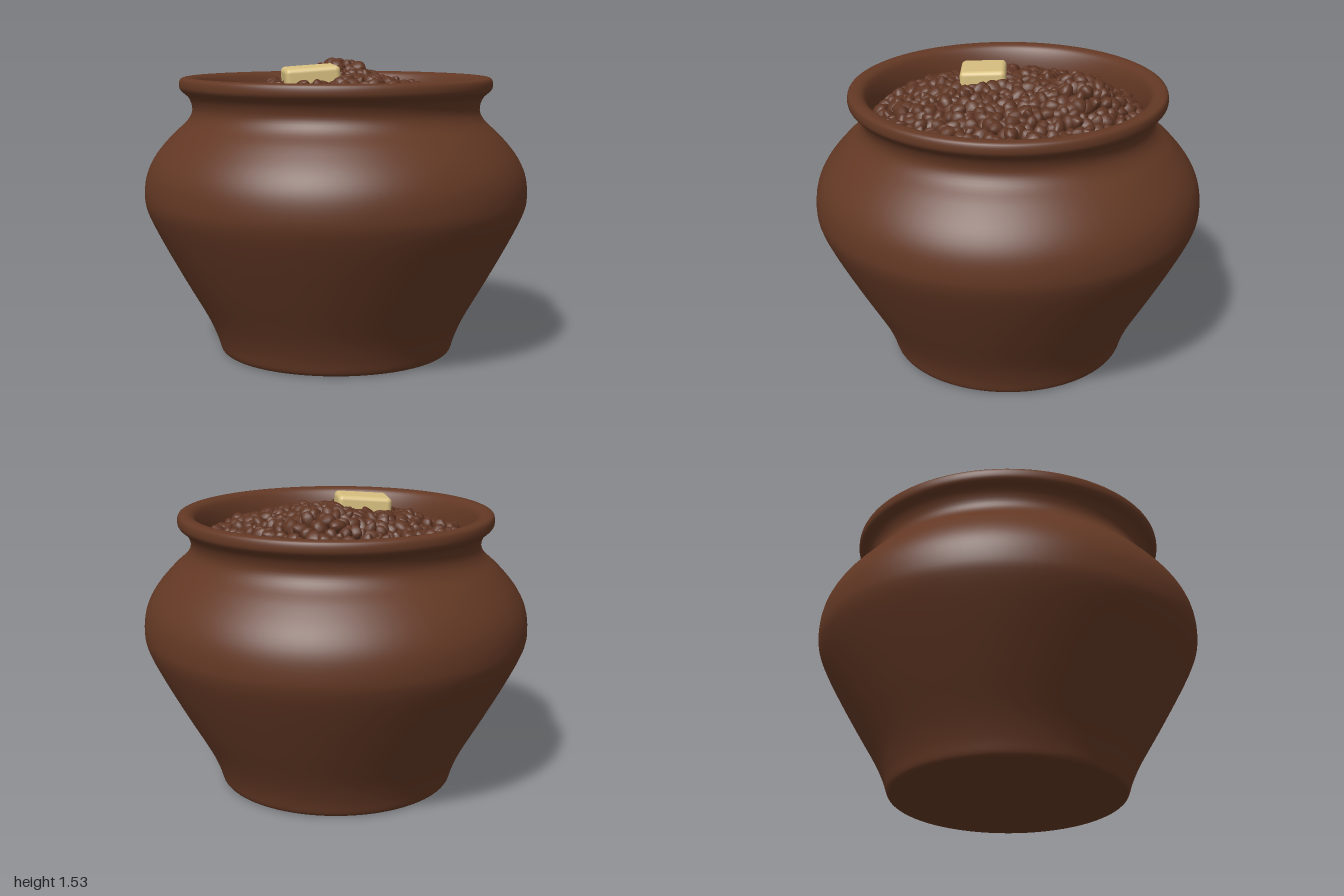
import * as THREE from 'three';
import { mergeGeometries } from 'three/addons/utils/BufferGeometryUtils.js';
import { RoundedBoxGeometry } from 'three/addons/geometries/RoundedBoxGeometry.js';

const clay = new THREE.MeshStandardMaterial({ name: 'brown clay', color: 0x633824 });
const grainBrown = new THREE.MeshStandardMaterial({ name: 'grain brown', color: 0x5e3523 });
const butterYellow = new THREE.MeshStandardMaterial({ name: 'butter yellow', color: 0xd8c080 });

function seeded(seed) {
  return () => {
    seed = (seed * 16807) % 2147483647;
    return seed / 2147483647;
  };
}

const points = (list) => list.map(([r, y]) => new THREE.Vector2(r, y));

// Height of the heaped filling: a dome with a bump at the back left
function heapHeight(x, z) {
  const rr = (x * x + z * z) / 0.48;
  const bump = Math.exp(-((x - 0.26) ** 2 + (z + 0.3) ** 2) / 0.04);
  return 1.27 + 0.145 * (1 - rr) + 0.11 * bump;
}

// Pot body: flat base, swelling belly, narrow neck, rolled lip and inner wall
function makePot() {
  const wall = new THREE.SplineCurve(points([
    [0.595, 0.003], [0.612, 0.02], [0.635, 0.09], [0.685, 0.2], [0.8, 0.4], [0.91, 0.6],
    [0.982, 0.75], [0.999, 0.84], [0.985, 0.95], [0.935, 1.05], [0.85, 1.15], [0.775, 1.22],
    [0.748, 1.28], [0.765, 1.34], [0.805, 1.378], [0.814, 1.405], [0.808, 1.435], [0.785, 1.445],
    [0.752, 1.442], [0.725, 1.42], [0.702, 1.36], [0.69, 1.28], [0.7, 1.2], [0.74, 1.12],
  ]));
  const base = points([[0, 0], [0.3, 0], [0.57, 0], [0.585, 0]]);
  const mesh = new THREE.Mesh(new THREE.LatheGeometry([...base, ...wall.getPoints(92)], 96), clay);
  mesh.name = 'pot';
  return mesh;
}

// Solid bed that closes the gaps between the grains
function makeBed() {
  const geo = new THREE.CircleGeometry(0.71, 48).rotateX(-Math.PI / 2);
  const rings = new THREE.RingGeometry(0.001, 0.71, 48, 12).rotateX(-Math.PI / 2);
  geo.dispose();
  const p = rings.attributes.position;
  for (let i = 0; i < p.count; i++) p.setY(i, heapHeight(p.getX(i), p.getZ(i)) - 0.015);
  rings.computeVertexNormals();
  const mesh = new THREE.Mesh(rings, grainBrown);
  mesh.name = 'grainBed';
  return mesh;
}

// One plump grain with three soft ridges and a pointed end
function grainGeometry() {
  const geo = new THREE.SphereGeometry(1, 12, 8);
  const p = geo.attributes.position;
  for (let i = 0; i < p.count; i++) {
    const x = p.getX(i), y = p.getY(i), z = p.getZ(i);
    const ridge = 1 + 0.13 * Math.cos(3 * Math.atan2(z, x));
    const taper = 1 - 0.22 * y;
    p.setXYZ(i, x * ridge * taper, y * 1.15, z * ridge * taper);
  }
  geo.computeVertexNormals();
  return geo;
}

// Grains spread in a jittered spiral over the heap
function makeGrains() {
  const rand = seeded(4711);
  const unit = grainGeometry();
  const list = [];
  const count = 620;
  const dummy = new THREE.Object3D();
  for (let i = 0; i < count; i++) {
    const r = 0.665 * Math.sqrt((i + 0.5) / count);
    const a = i * 2.39996;
    const x = r * Math.cos(a) + (rand() - 0.5) * 0.025;
    const z = r * Math.sin(a) + (rand() - 0.5) * 0.025;
    const size = 0.03 + rand() * 0.014;
    dummy.position.set(x, heapHeight(x, z) + (rand() - 0.4) * 0.035, z);
    dummy.rotation.set(rand() * 6.28, rand() * 6.28, rand() * 6.28);
    dummy.scale.set(size, size * (0.9 + rand() * 0.3), size * (0.8 + rand() * 0.2));
    dummy.updateMatrix();
    list.push(unit.clone().applyMatrix4(dummy.matrix));
  }
  const mesh = new THREE.Mesh(mergeGeometries(list), grainBrown);
  mesh.name = 'grains';
  return mesh;
}

// Tilted pat of butter resting on the grains
function makeButter() {
  const mesh = new THREE.Mesh(new RoundedBoxGeometry(0.28, 0.11, 0.235, 4, 0.025), butterYellow);
  mesh.position.set(-0.195, 1.45, 0.04);
  mesh.rotation.set(0.03, -0.5, 0.07, 'YXZ');
  mesh.name = 'butter';
  return mesh;
}

export function createModel() {
  const group = new THREE.Group();
  group.name = 'potOfGrain';
  group.add(makePot(), makeBed(), makeGrains(), makeButter());
  return group;
}
